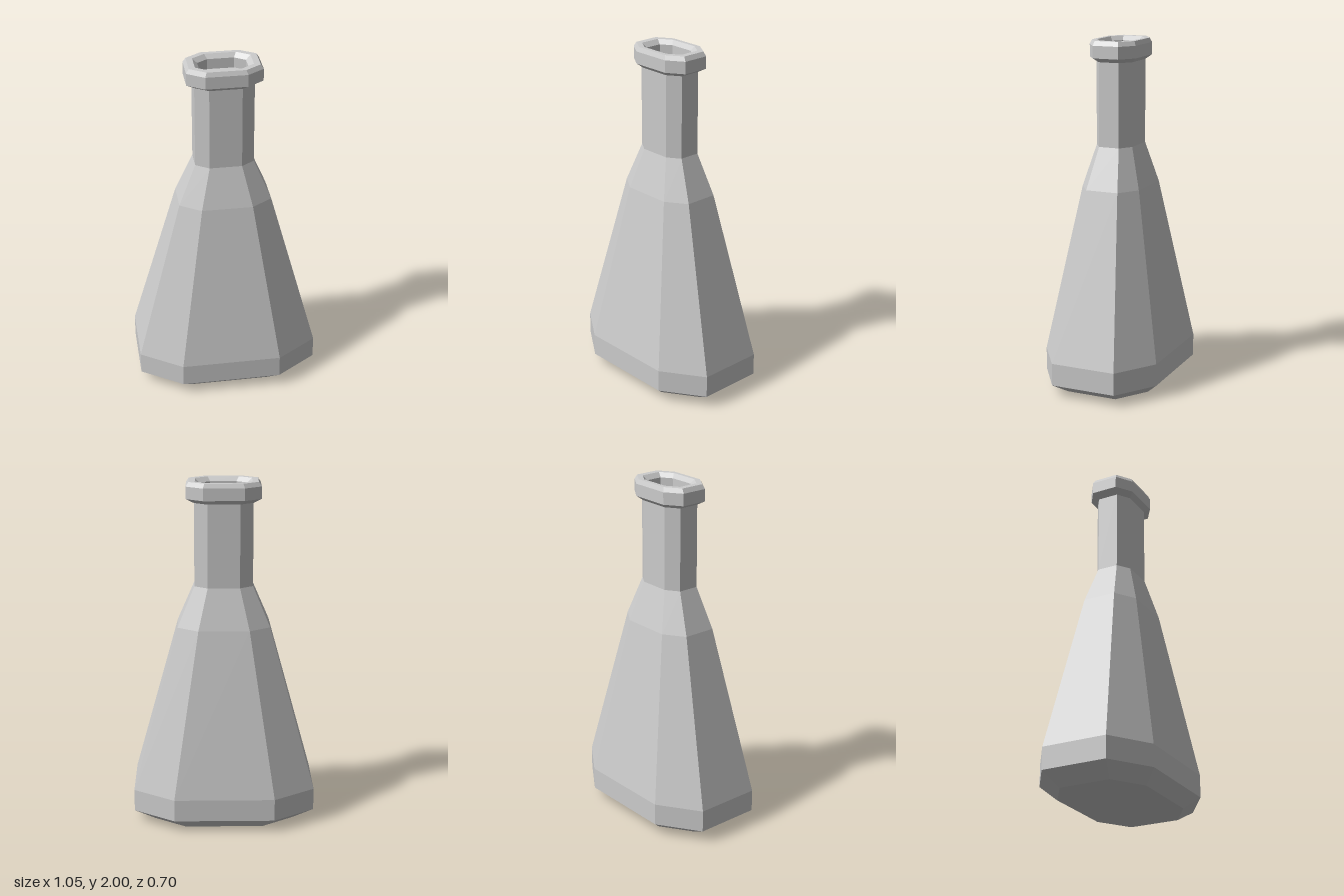
import * as THREE from 'three';

// Unit cross-section: an elongated octagon, counter-clockwise seen from above
const DEPTH = 0.664, CUT = 0.55;
const OCTAGON = [
  [1, CUT], [CUT, 1], [-CUT, 1], [-1, CUT],
  [-1, -CUT], [-CUT, -1], [CUT, -1], [1, -CUT],
].map(([x, z]) => [x, z * DEPTH]);

const glass = new THREE.MeshStandardMaterial({ color: 0xcccccc });
glass.name = 'pale grey glass';

// Skins a list of [half width, height] rings; radius 0 closes an end
function loft(name, profile) {
  const positions = [];
  const at = (ring, i) => {
    const [r, y] = ring, [x, z] = OCTAGON[i % 8];
    return [x * r, y, z * r];
  };
  for (let k = 0; k < profile.length - 1; k++) {
    const low = profile[k], high = profile[k + 1];
    for (let i = 0; i < 8; i++) {
      const a = at(low, i), b = at(low, i + 1), c = at(high, i + 1), d = at(high, i);
      if (low[0] > 0) positions.push(...a, ...d, ...b);
      if (high[0] > 0) positions.push(...b, ...d, ...c);
    }
  }
  const geometry = new THREE.BufferGeometry();
  geometry.setAttribute('position', new THREE.Float32BufferAttribute(positions, 3));
  geometry.computeVertexNormals(); // unshared corners give flat facets
  const mesh = new THREE.Mesh(geometry, glass);
  mesh.name = name;
  return mesh;
}

export function createModel() {
  const flask = new THREE.Group();
  flask.name = 'flask';
  flask.add(
    // Flat bottom, chamfered foot, tapering body and shoulder
    loft('body', [[0, 0], [0.41, 0], [0.527, 0.07], [0.527, 0.2], [0.265, 1.165], [0.167, 1.4]]),
    // Straight neck
    loft('neck', [[0.167, 1.4], [0.167, 1.88]]),
    // Bevelled lip, turning over into the mouth
    loft('lip', [[0.167, 1.88], [0.212, 1.905], [0.212, 1.975], [0.196, 2], [0.161, 2], [0.135, 1.975]]),
    // Shallow recess with its flat floor
    loft('mouth', [[0.135, 1.975], [0.135, 1.915], [0, 1.915]]),
  );
  return flask;
}
